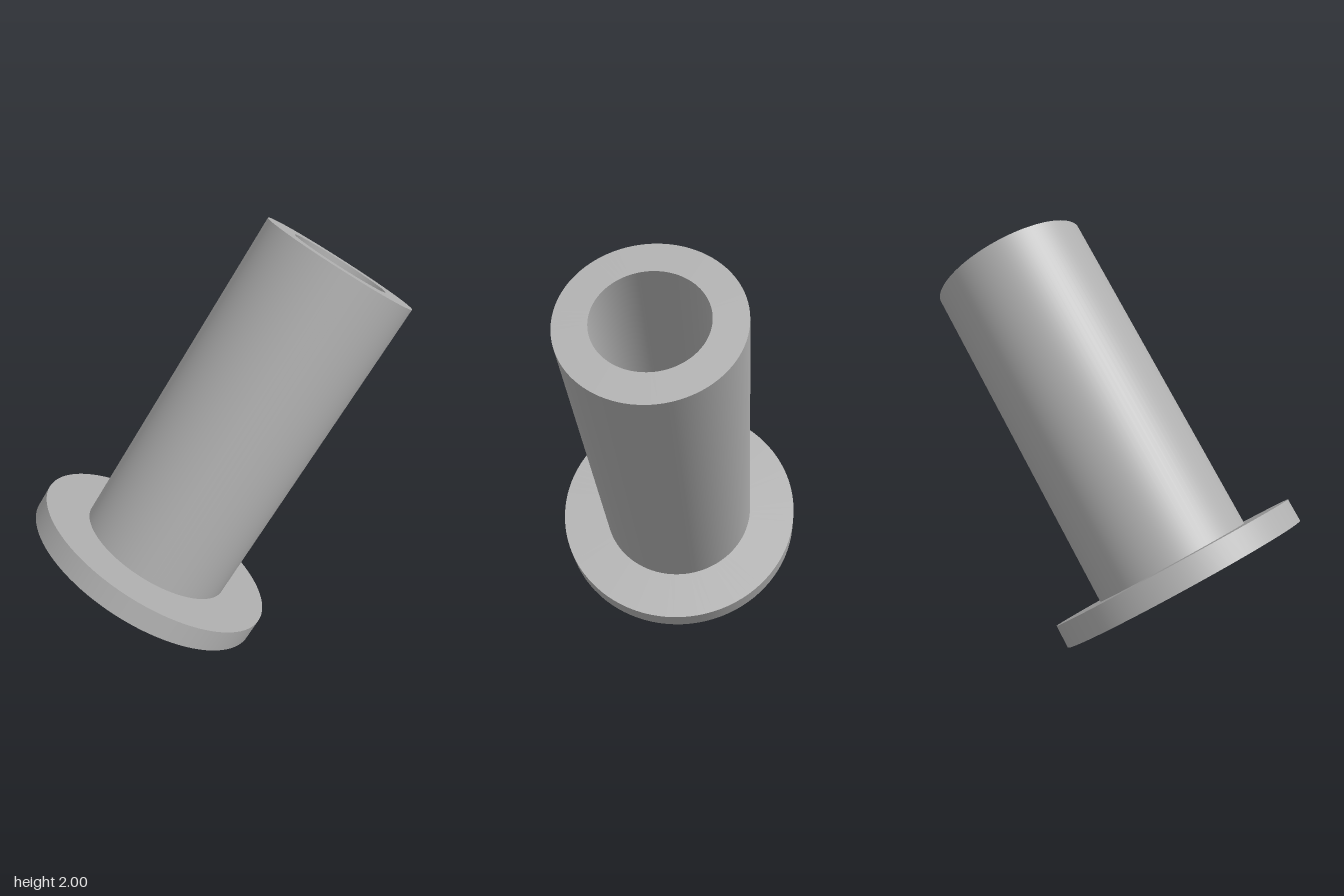
import * as THREE from 'three';
import { mergeGeometries } from 'three/addons/utils/BufferGeometryUtils.js';

const BORE = 0.24, BARREL = 0.382, FLANGE = 0.611;
const THICKNESS = 0.11, LENGTH = 1.748;
const TILT = THREE.MathUtils.degToRad(35.5);

// Turned surface with hard edges: one lathe band per profile segment
function turned(name, profile, material) {
  const bands = profile.slice(1).map((p, i) => new THREE.LatheGeometry(
    [new THREE.Vector2(...profile[i]), new THREE.Vector2(...p)], 96));
  const mesh = new THREE.Mesh(mergeGeometries(bands), material);
  mesh.name = name;
  return mesh;
}

export function createModel() {
  const grey = new THREE.MeshStandardMaterial({ color: 0xb0b0b0 });
  grey.name = 'grey';

  const bushing = new THREE.Group();
  bushing.name = 'flangedBushing';

  // Flange disc, with the bore passing through it
  bushing.add(turned('flange', [
    [BORE, THICKNESS], [BORE, 0], [FLANGE, 0], [FLANGE, THICKNESS], [BARREL, THICKNESS],
  ], grey));

  // Hollow barrel: outer wall, end face, bore
  bushing.add(turned('barrel', [
    [BARREL, THICKNESS], [BARREL, LENGTH], [BORE, LENGTH], [BORE, THICKNESS],
  ], grey));

  // Lean towards +x, resting on the flange rim
  bushing.rotation.z = -TILT;
  bushing.position.set(-0.414, FLANGE * Math.sin(TILT), 0);

  const model = new THREE.Group();
  model.name = 'model';
  model.add(bushing);
  return model;
}
